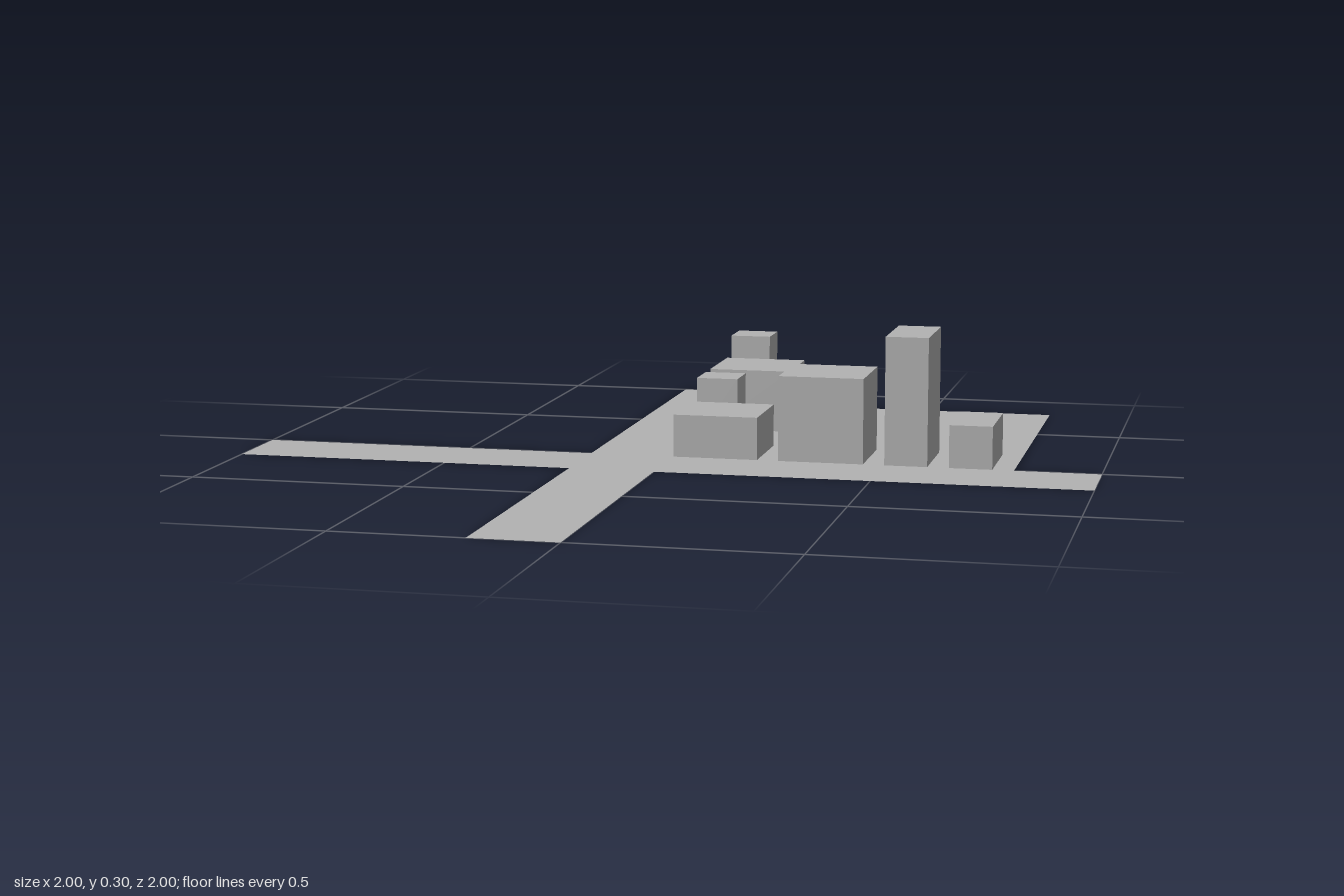
import * as THREE from 'three';

export function createModel() {
  const model = new THREE.Group();
  model.name = 'cityBlock';

  const grey = new THREE.MeshStandardMaterial({ color: 0xb2b2b2, side: THREE.DoubleSide });
  grey.name = 'grey';

  function add(name, geometry, parent) {
    const mesh = new THREE.Mesh(geometry, grey);
    mesh.name = name;
    parent.add(mesh);
  }

  // Flat ground piece spanning x0..x1 and z0..z1
  function flat(name, x0, x1, z0, z1) {
    const geometry = new THREE.PlaneGeometry(x1 - x0, z1 - z0);
    geometry.rotateX(-Math.PI / 2).translate((x0 + x1) / 2, 0, (z0 + z1) / 2);
    add(name, geometry, model);
  }

  // Crossing roads and the building lot, meeting edge to edge
  flat('mainRoad', -1, 1, 0, 0.2);
  flat('sideRoadBack', -0.2, 0, -1, 0);
  flat('sideRoadFront', -0.2, 0, 0.2, 1);
  flat('lot', 0, 0.8, -0.8, 0);

  // Buildings: left edge x, front edge z, width, depth, height
  const buildings = new THREE.Group();
  buildings.name = 'buildings';
  model.add(buildings);
  [
    ['cornerBuilding', 0, 0, 0.2, 0.2, 0.1],
    ['wideBuilding', 0.25, 0, 0.2, 0.2, 0.2],
    ['tower', 0.5, 0, 0.1, 0.2, 0.3],
    ['lowBuilding', 0.65, 0, 0.1, 0.2, 0.1],
    ['smallBuilding', 0, -0.25, 0.1, 0.1, 0.15],
    ['squareBuilding', 0, -0.4, 0.2, 0.2, 0.15],
    ['smallTower', 0, -0.65, 0.1, 0.1, 0.2],
  ].forEach(([name, x, z, w, d, h]) => {
    add(name, new THREE.BoxGeometry(w, h, d).translate(x + w / 2, h / 2, z - d / 2), buildings);
  });

  return model;
}
